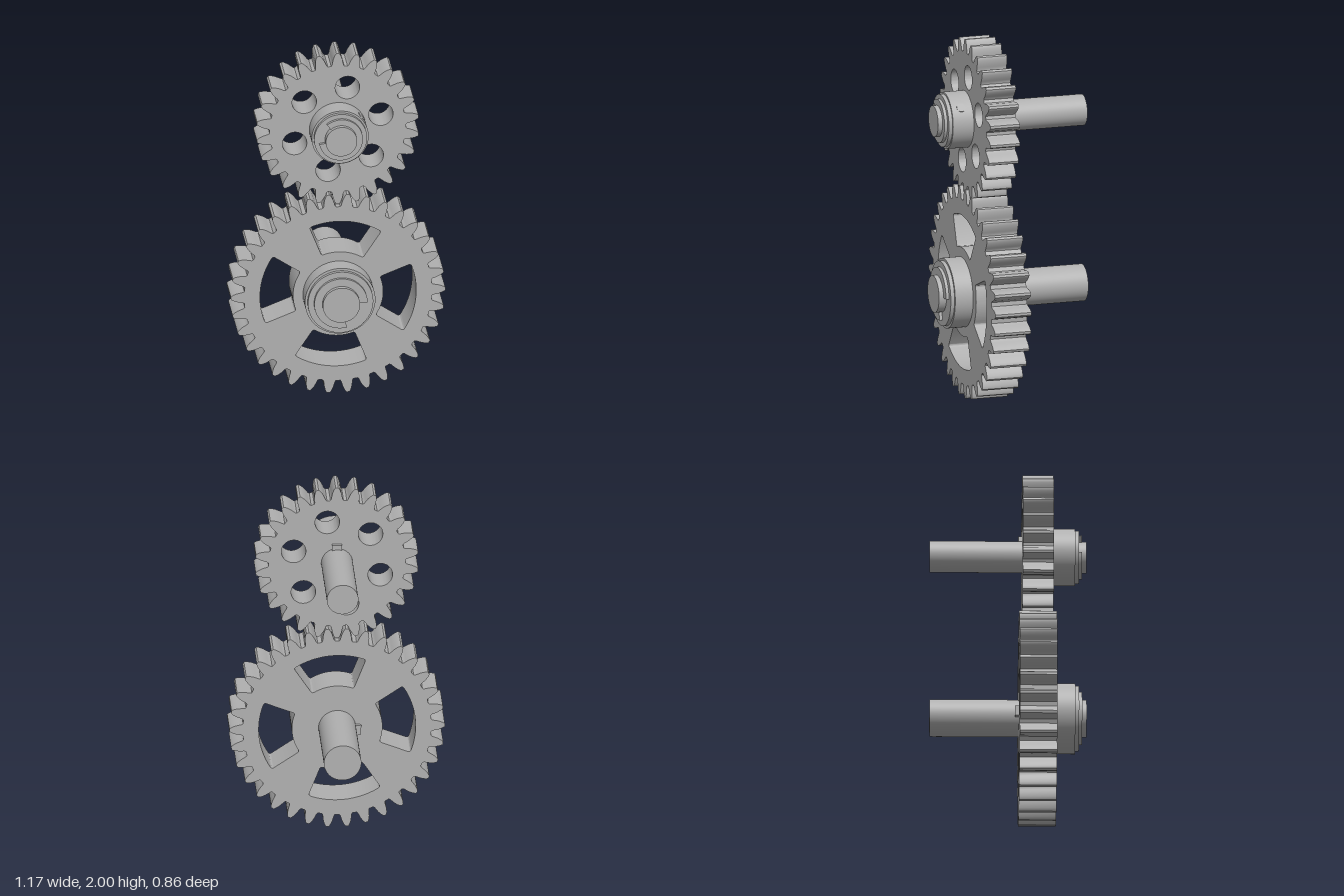
import * as THREE from 'three';
import { toCreasedNormals } from 'three/addons/utils/BufferGeometryUtils.js';

const steel = new THREE.MeshStandardMaterial({ color: 0xb0b0b0 });
steel.name = 'grey steel';

const rad = THREE.MathUtils.degToRad;
const polar = (r, a) => new THREE.Vector2(r * Math.cos(a), r * Math.sin(a));

function add(parent, name, geometry) {
  const mesh = new THREE.Mesh(geometry, steel);
  mesh.name = name;
  parent.add(mesh);
  return mesh;
}

// Flat shape extruded along z, with smooth curves and sharp edges
function plate(shape, z0, z1) {
  const g = new THREE.ExtrudeGeometry(shape, { depth: z1 - z0, bevelEnabled: false, curveSegments: 32 });
  g.translate(0, 0, z0);
  return toCreasedNormals(g, rad(25));
}

// Disc or shaft along z
function rod(r, z0, z1) {
  const g = new THREE.CylinderGeometry(r, r, z1 - z0, 64);
  g.rotateX(Math.PI / 2);
  g.translate(0, 0, (z0 + z1) / 2);
  return g;
}

// Toothed outline: one tooth is mirrored about its centre angle
function gearShape(teeth, tip, phase) {
  const depth = 0.073;
  const half = [[0, 0.036], [0.1, 0.031], [0.3, 0.0285], [0.55, 0.0245], [0.8, 0.0175], [0.95, 0.011], [1, 0.007]];
  const pts = [];
  for (let i = 0; i < teeth; i++) {
    const a = phase + (i / teeth) * Math.PI * 2;
    const side = (s) => ([t, w]) => {
      const r = tip - depth * (1 - t);
      return polar(r, a + (s * w) / r);
    };
    pts.push(...half.map(side(-1)), ...half.map(side(1)).reverse());
  }
  return new THREE.Shape(pts);
}

// Open retaining ring running from angle a0 to a1
function ringShape(inner, outer, a0, a1) {
  const s = new THREE.Shape();
  s.absarc(0, 0, outer, a0, a1, false);
  s.absarc(0, 0, inner, a1, a0, true);
  s.closePath();
  return s;
}

// Window between two spokes, with rounded corners
function windowPath(r0, r1, mid, half) {
  const f = 0.014, p = new THREE.Path();
  const a = mid - half, b = mid + half;
  const start = polar(r0 + f, a);
  p.moveTo(start.x, start.y);
  const line = (r, t) => { const v = polar(r, t); p.lineTo(v.x, v.y); };
  const corner = (r, t, r2, t2) => {
    const c = polar(r, t), e = polar(r2, t2);
    p.quadraticCurveTo(c.x, c.y, e.x, e.y);
  };
  line(r1 - f, a);
  corner(r1, a, r1, a + f / r1);
  p.absarc(0, 0, r1, a + f / r1, b - f / r1, false);
  corner(r1, b, r1 - f, b);
  line(r0 + f, b);
  corner(r0, b, r0, b - f / r0);
  p.absarc(0, 0, r0, b - f / r0, a + f / r0, true);
  corner(r0, a, r0 + f, a);
  return p;
}

function gearAssembly(o) {
  const g = new THREE.Group();
  g.name = o.name;
  g.position.y = o.y;

  // Toothed wheel with its cut-outs
  const shape = gearShape(o.teeth, o.tip, o.phase);
  shape.holes.push(...o.holes);
  add(g, 'toothedWheel', plate(shape, o.z0, o.z1));

  // Shaft, hub collar and stepped washer
  add(g, 'shaft', rod(o.shaft, -0.43, 0.425));
  add(g, 'hubCollar', rod(o.hub, o.z1 - 0.01, 0.362));
  add(g, 'washer', rod(o.washer, 0.36, 0.383));

  // Retaining ring in front of the washer
  const ring = ringShape(o.shaft - 0.005, o.ring, rad(o.ringFrom), rad(o.ringTo));
  add(g, 'retainingRing', plate(ring, 0.382, 0.4));

  // Key end showing behind the wheel
  const key = add(g, 'shaftKey', new THREE.BoxGeometry(0.05, 0.055, 0.05));
  const k = polar(o.shaft + 0.002, rad(o.keyAngle));
  key.position.set(k.x, k.y, o.z0 + 0.005);
  key.rotation.z = rad(o.keyAngle);
  return g;
}

export function createModel() {
  const model = new THREE.Group();
  model.name = 'gearPair';

  // Large spoked gear
  const windows = [];
  for (let i = 0; i < 4; i++) windows.push(windowPath(0.247, 0.428, rad(84 + 90 * i), rad(27.5)));
  model.add(gearAssembly({
    name: 'largeGear', y: 0.585, teeth: 34, tip: 0.5875, phase: Math.PI / 2 + Math.PI / 34, holes: windows,
    z0: 0.055, z1: 0.26, shaft: 0.102, hub: 0.193, washer: 0.179, ring: 0.146,
    ringFrom: 0, ringTo: 283, keyAngle: 185,
  }));

  // Small gear with six round holes
  const holes = [];
  for (let i = 0; i < 6; i++) {
    const c = polar(0.248, rad(77.7 + 60 * i));
    holes.push(new THREE.Path().absarc(c.x, c.y, 0.067, 0, Math.PI * 2, true));
  }
  const small = gearAssembly({
    name: 'smallGear', y: 1.554, teeth: 26, tip: 0.446, phase: Math.PI / 2, holes,
    z0: 0.073, z1: 0.243, shaft: 0.086, hub: 0.156, washer: 0.145, ring: 0.12,
    ringFrom: 190, ringTo: 490, keyAngle: 90,
  });
  model.add(small);

  // Set screw in the small hub
  const screw = add(small, 'setScrew', new THREE.CylinderGeometry(0.025, 0.025, 0.03, 24));
  const s = polar(0.142, rad(38));
  screw.position.set(s.x, s.y, 0.306);
  screw.rotation.z = rad(38 - 90);

  return model;
}
